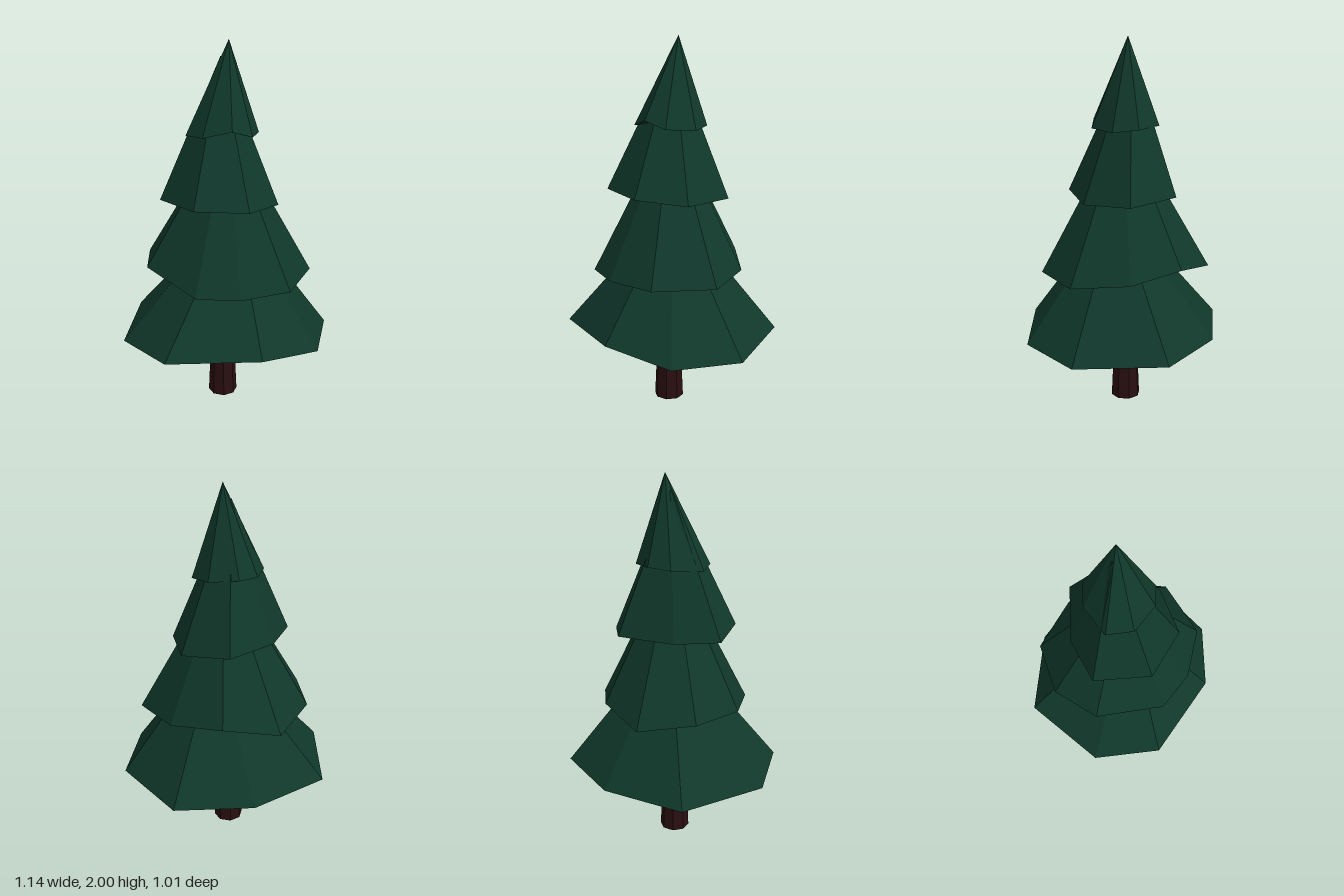
import * as THREE from 'three';

const green = new THREE.MeshStandardMaterial({ color: 0x10382b });
green.name = 'pine green';
green.flatShading = true;
const brown = new THREE.MeshStandardMaterial({ color: 0x2a0f10 });
brown.name = 'bark brown';
brown.flatShading = true;

// Each tier is an irregular cone: a tip and an uneven rim of [x, y, z] corners.
const tiers = [
  {
    name: 'lowestBranches', tip: [0.04, 1.13, 0.02],
    rim: [[-0.08, 0.42, -0.51], [0.34, 0.42, -0.465], [0.57, 0.40, -0.04], [0.46, 0.41, 0.32],
      [0.14, 0.47, 0.505], [-0.355, 0.45, 0.455], [-0.575, 0.425, 0.15], [-0.495, 0.42, -0.325]],
  },
  {
    name: 'lowerBranches', tip: [0, 1.58, 0],
    rim: [[-0.23, 0.78, -0.405], [0.07, 0.83, -0.39], [0.32, 0.79, -0.23], [0.455, 0.77, 0.04],
      [0.3, 0.77, 0.33], [0.035, 0.77, 0.41], [-0.19, 0.77, 0.375], [-0.435, 0.83, 0.09], [-0.425, 0.82, -0.18]],
  },
  {
    name: 'upperBranches', tip: [-0.03, 1.92, -0.03],
    rim: [[0.025, 1.2, -0.33], [0.25, 1.17, -0.19], [0.265, 1.16, 0.08], [0.09, 1.19, 0.29],
      [-0.19, 1.205, 0.285], [-0.355, 1.19, 0.035], [-0.23, 1.19, -0.17]],
  },
  {
    name: 'topBranches', tip: [0.012, 2, -0.035],
    rim: [[-0.045, 1.55, -0.19], [0.105, 1.54, -0.155], [0.17, 1.525, -0.035], [0.12, 1.535, 0.12],
      [0.012, 1.575, 0.175], [-0.135, 1.54, 0.145], [-0.215, 1.53, 0.035], [-0.15, 1.54, -0.125]],
  },
];

function irregularCone(tip, rim) {
  const centre = [0, 1, 2].map((k) => rim.reduce((sum, p) => sum + p[k], 0) / rim.length);
  const corners = [];
  rim.forEach((a, i) => {
    const b = rim[(i + 1) % rim.length];
    corners.push(...tip, ...b, ...a); // sloping side
    corners.push(...centre, ...a, ...b); // underside
  });
  const geometry = new THREE.BufferGeometry();
  geometry.setAttribute('position', new THREE.Float32BufferAttribute(corners, 3));
  geometry.computeVertexNormals();
  return geometry;
}

export function createModel() {
  const tree = new THREE.Group();
  tree.name = 'pineTree';

  for (const { name, tip, rim } of tiers) {
    const mesh = new THREE.Mesh(irregularCone(tip, rim), green);
    mesh.name = name;
    tree.add(mesh);
  }

  // Tapered trunk, running up inside the lowest branches
  const trunk = new THREE.Mesh(new THREE.CylinderGeometry(0.05, 0.081, 0.7, 8), brown);
  trunk.name = 'trunk';
  trunk.position.set(-0.025, 0.35, 0);
  tree.add(trunk);

  return tree;
}
